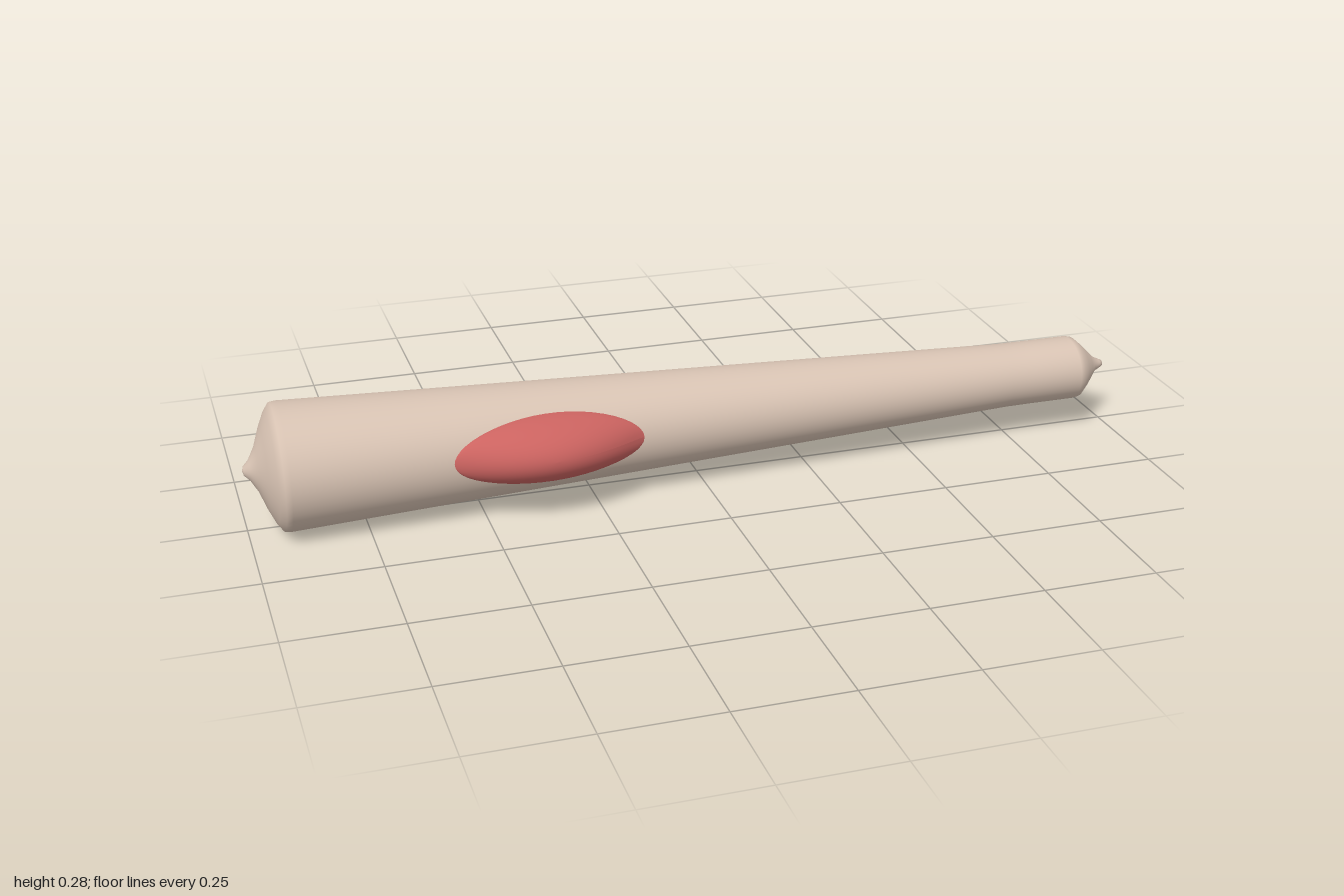
import * as THREE from 'three';

const CY = 0.14, CZ = -0.004, FLAT = 1.09; // axis position, depth stretch

// body radius along the straight taper
const taper = (x) => 0.138 - 0.066 * (x + 0.92) / 1.68;

export function createModel() {
  const group = new THREE.Group();
  const skin = new THREE.MeshStandardMaterial({ color: 0xd8c3b3 });
  skin.name = 'beige';
  const red = new THREE.MeshStandardMaterial({ color: 0xcb6360, side: THREE.DoubleSide });
  red.name = 'softRed';

  // tapered body with nipple-shaped ends, [x, radius]
  const profile = [
    [-1, 0], [-0.997, 0.01], [-0.985, 0.022], [-0.97, 0.048], [-0.955, 0.088],
    [-0.94, 0.12], [-0.928, 0.136], [-0.915, 0.138], [-0.5, taper(-0.5)],
    [0, taper(0)], [0.4, taper(0.4)], [0.74, 0.0725], [0.8, 0.072], [0.91, 0.072],
    [0.922, 0.07], [0.94, 0.054], [0.958, 0.036], [0.975, 0.018], [0.99, 0.011],
    [0.998, 0.007], [1, 0],
  ].map(([x, r]) => new THREE.Vector2(r, x));
  const bodyGeo = new THREE.LatheGeometry(profile, 48);
  bodyGeo.rotateZ(-Math.PI / 2);
  bodyGeo.scale(1, 1, FLAT);
  const body = new THREE.Mesh(bodyGeo, skin);
  body.name = 'body';
  body.position.set(0, CY, CZ);
  group.add(body);

  // oval swelling that rises from the body surface; side is +1 front, -1 back
  function swelling(name, side, xc, yc, rx, ry, height) {
    const rings = 20, segs = 48, pos = [], idx = [];
    for (let i = 0; i <= rings; i++) {
      const rho = Math.sin((i / rings) * Math.PI / 2);
      for (let j = 0; j <= segs; j++) {
        const a = (j / segs) * Math.PI * 2;
        const u = rho * Math.cos(a), v = rho * Math.sin(a);
        const x = xc + rx * u, y = yc + ry * v;
        const r = taper(x);
        const surface = FLAT * Math.sqrt(Math.max(0, r * r - (y - CY) ** 2));
        const bump = height * Math.sqrt(Math.max(0, 1 - rho * rho)) * Math.pow(Math.max(0, 1 - u * u), 0.7);
        pos.push(x, y, CZ + side * (surface + bump + 0.001));
        if (i < rings && j < segs) {
          const p = i * (segs + 1) + j, q = p + segs + 1;
          if (side > 0) idx.push(p, q, q + 1, p, q + 1, p + 1);
          else idx.push(p, q + 1, q, p, p + 1, q + 1);
        }
      }
    }
    const geo = new THREE.BufferGeometry();
    geo.setAttribute('position', new THREE.Float32BufferAttribute(pos, 3));
    geo.setIndex(idx);
    geo.computeVertexNormals();
    const mesh = new THREE.Mesh(geo, red);
    mesh.name = name;
    group.add(mesh);
  }
  swelling('frontSwelling', 1, -0.363, 0.155, 0.21, 0.07, 0.062);
  swelling('backSwelling', -1, -0.45, 0.14, 0.192, 0.086, 0.054);

  return group;
}
